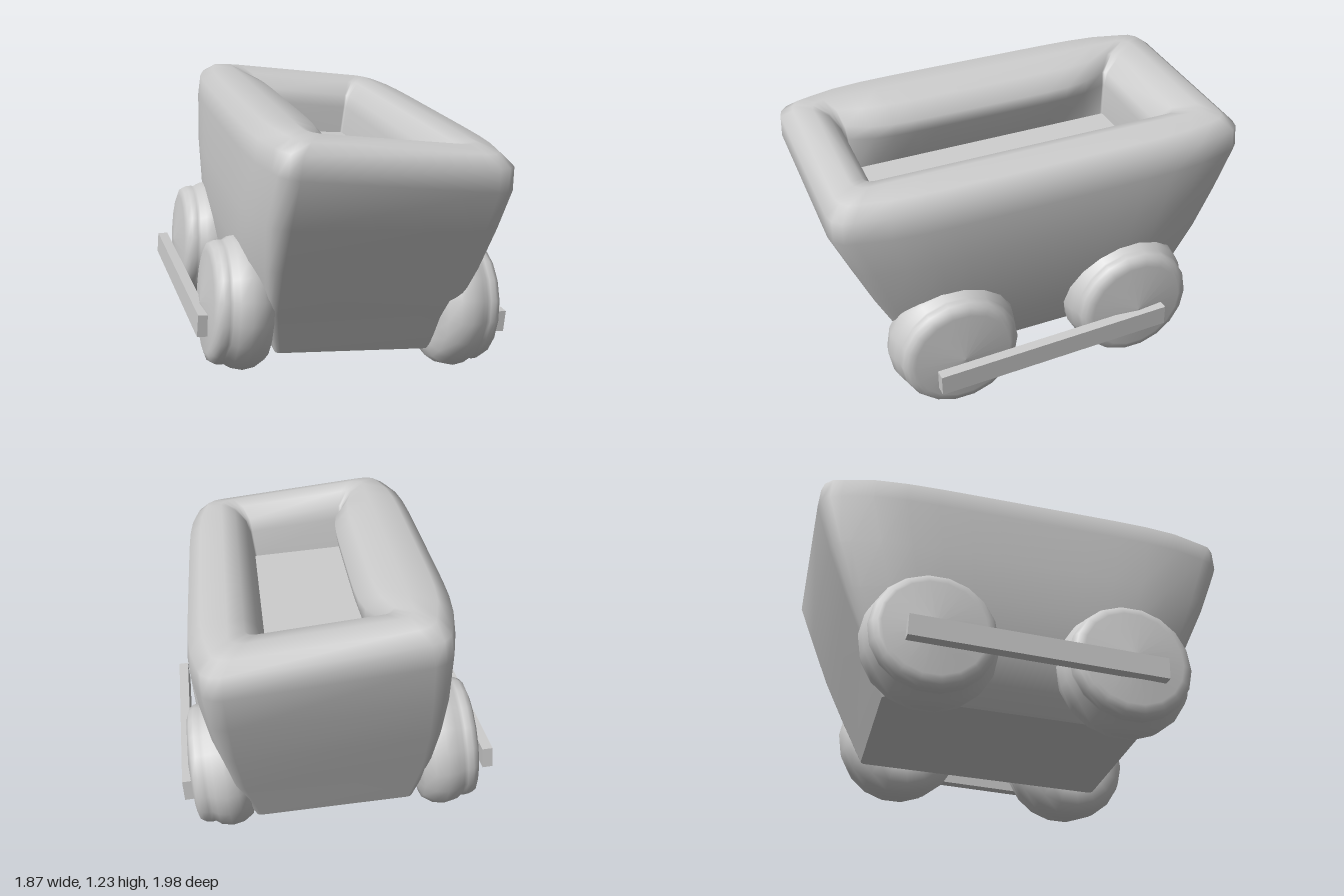
import * as THREE from 'three';

const material = new THREE.MeshStandardMaterial({ color: 0xcccccc });

function add(parent, geometry, name) {
  const mesh = new THREE.Mesh(geometry, material);
  mesh.name = name;
  parent.add(mesh);
  return mesh;
}

// Rounded rectangle ring at height y: half sizes hx, hz, corner radius r,
// long sides bowed outward by bowLeft and bowRight, centred on z = cz
function ring([y, hx, hz, r, bowLeft = 0, bowRight = 0, cz = 0]) {
  const points = [];
  const steps = 3, parts = 12;
  // the rim rises towards the right side
  const push = (x, z) => points.push(x, y > 0.9 ? y + 0.085 * Math.max(0, -x) : y, z + cz);
  const corners = [[1, 1], [-1, 1], [-1, -1], [1, -1]];
  corners.forEach(([sx, sz], q) => {
    for (let k = 0; k <= steps; k++) {
      const a = (q + k / steps) * Math.PI / 2;
      push(sx * (hx - r) + Math.cos(a) * r, sz * (hz - r) + Math.sin(a) * r);
    }
    if (q % 2 === 0) return;
    for (let k = 1; k < parts; k++) {
      const t = sz * (1 - 2 * k / parts);
      const bow = sx > 0 ? bowLeft : bowRight;
      push(sx * (hx + bow * (1 - t ** 6)), t * (hz - r));
    }
  });
  return points;
}

// Skin through the stacked rings; a repeated level makes a hard edge
function skin(levels) {
  const positions = levels.flatMap(ring);
  const n = positions.length / 3 / levels.length;
  const index = [];
  for (let j = 0; j < levels.length - 1; j++) {
    for (let i = 0; i < n; i++) {
      const a = j * n + i, b = j * n + (i + 1) % n;
      index.push(a, a + n, b, b, a + n, b + n);
    }
  }
  const geometry = new THREE.BufferGeometry();
  geometry.setAttribute('position', new THREE.Float32BufferAttribute(positions, 3));
  geometry.setIndex(index);
  geometry.computeVertexNormals();
  return geometry;
}

// Wheel turned around y, the outer face towards +y
function wheelGeometry() {
  const profile = [
    [0, 0.36], [0.19, 0.36], [0.25, 0.375], [0.28, 0.42], [0.29, 0.47],
    [0.28, 0.52], [0.262, 0.545], [0.265, 0.56], [0.262, 0.585],
    [0.25, 0.605], [0.23, 0.612], [0.215, 0.617], [0, 0.64],
  ].map(([x, y]) => new THREE.Vector2(x, y));
  return new THREE.LatheGeometry(profile, 18);
}

export function createModel() {
  const model = new THREE.Group();
  model.name = 'mineCart';
  const cart = new THREE.Group();
  cart.name = 'cart';
  model.add(cart);

  // Flared, bulging tub with a fat rounded rim and a sunken floor
  const tub = add(cart, skin([
    [0.165, 0, 0, 0],
    [0.165, 0.345, 0.56, 0.02],
    [0.165, 0.345, 0.56, 0.02],
    [0.25, 0.375, 0.60, 0.03, 0.03, 0.045],
    [0.38, 0.415, 0.66, 0.04, 0.04, 0.06],
    [0.60, 0.455, 0.765, 0.06, 0.05, 0.065],
    [0.80, 0.48, 0.85, 0.08, 0.05, 0.055],
    [0.98, 0.49, 0.925, 0.09, 0.05, 0.05],
    [1.075, 0.485, 0.92, 0.09, 0.04, 0.05],
    [1.12, 0.435, 0.87, 0.08, 0.035, 0.045],
    [1.14, 0.36, 0.79, 0.06],
    [1.12, 0.295, 0.71, 0.04, 0, -0.05, 0.02],
    [1.06, 0.245, 0.655, 0.02, 0, -0.07, 0.035],
    [1.00, 0.23, 0.64, 0.01, 0, -0.05, 0.035],
    [0.87, 0.22, 0.63, 0.01, 0, 0, 0.035],
    [0.87, 0.22, 0.63, 0.01, 0, 0, 0.035],
    [0.87, 0, 0, 0],
  ]), 'tub');
  tub.position.set(0.015, 0, -0.045);

  // Two wheels and a coupling bar on each side
  const wheel = wheelGeometry();
  const sides = [
    { name: 'left', side: 1, height: 0.35, wheels: [-0.42, 0.41], barZ: 0 },
    { name: 'right', side: -1, height: 0.35, wheels: [-0.45, 0.38], barZ: -0.03 },
  ];
  for (const { name, side, height, wheels, barZ } of sides) {
    for (const z of wheels) {
      const mesh = add(cart, wheel, name + 'Wheel');
      mesh.rotation.z = -side * Math.PI / 2;
      mesh.position.set(0, height, z);
    }
    const bar = add(cart, new THREE.BoxGeometry(0.045, 0.095, 1.08), name + 'CouplingBar');
    bar.position.set(side * 0.66, 0.295, barZ);
    bar.rotation.y = 0.03;
  }

  // The whole cart stands turned and slightly tilted
  const along = new THREE.Vector3(0.62, -0.05, 0.785).normalize();
  const across = new THREE.Vector3(0.785, -0.08, -0.62);
  const up = along.clone().cross(across).normalize();
  across.crossVectors(up, along);
  cart.quaternion.setFromRotationMatrix(new THREE.Matrix4().makeBasis(across, up, along));
  cart.position.copy(across).multiplyScalar(-0.07);
  return model;
}
